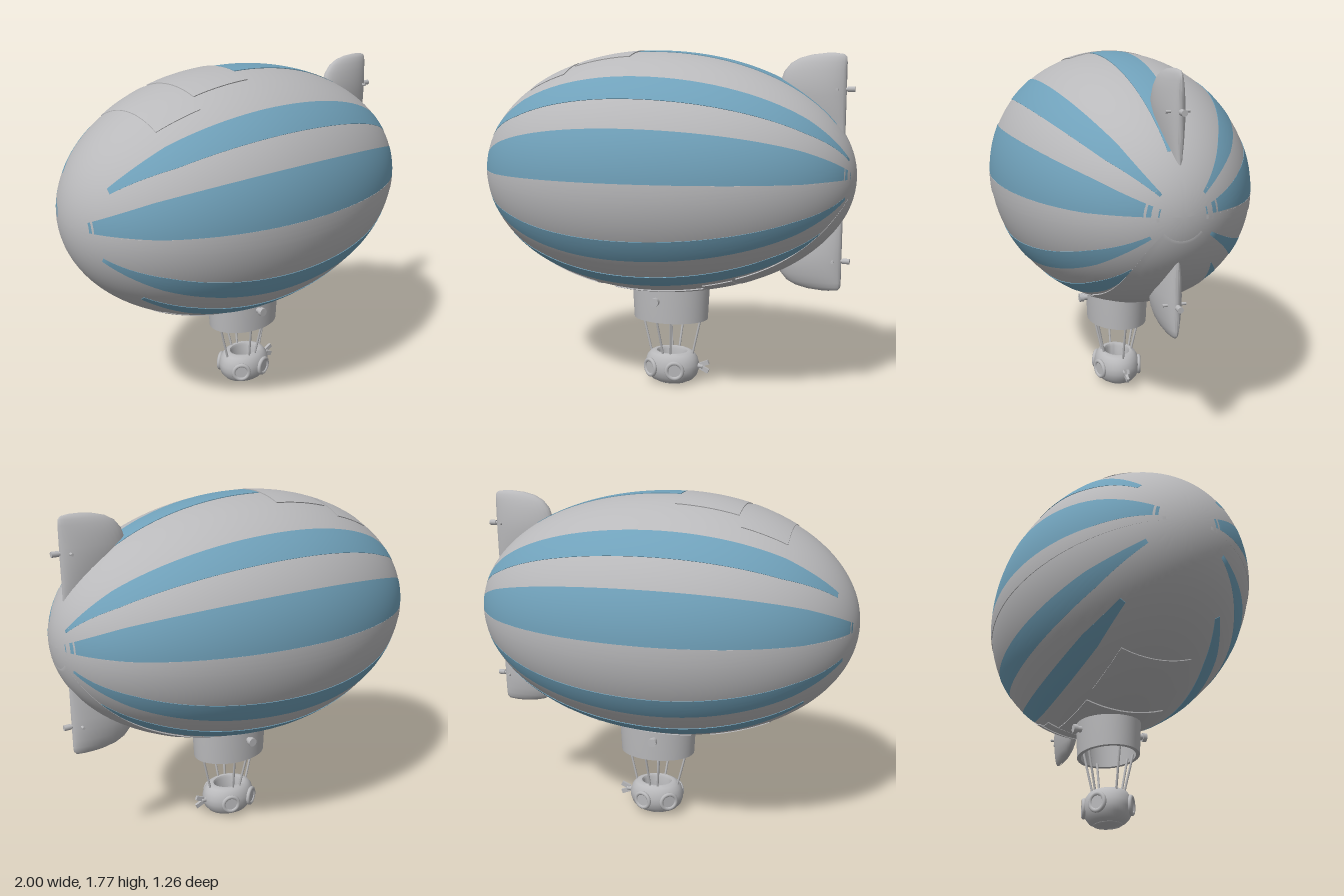
import * as THREE from 'three';
import { toCreasedNormals } from 'three/addons/utils/BufferGeometryUtils.js';

const AXIS_Y = 1.138, RADIUS = 0.628, MID_X = -0.05, DEG = Math.PI / 180;

// Surface from a rule fn(u, v) -> [x, y, z], with u and v in 0..1
function grid(nu, nv, fn, crease = 0.6) {
  const pos = [], index = [];
  for (let i = 0; i <= nu; i++)
    for (let j = 0; j <= nv; j++) pos.push(...fn(i / nu, j / nv));
  for (let i = 0; i < nu; i++)
    for (let j = 0; j < nv; j++) {
      const a = i * (nv + 1) + j, b = a + nv + 1;
      index.push(a, b, b + 1, a, b + 1, a + 1);
    }
  const g = new THREE.BufferGeometry();
  g.setAttribute('position', new THREE.Float32BufferAttribute(pos, 3));
  g.setIndex(index);
  return toCreasedNormals(g, crease);
}

// Hull point: s runs tail to nose (-PI/2..PI/2), a is the angle up from +z
function hullPoint(s, a, lift = 0) {
  const r = RADIUS * Math.cos(s) + lift * Math.cos(s);
  const x = MID_X + (s < 0 ? 0.95 : 1.05) * Math.sin(s);
  return [x, AXIS_Y + r * Math.sin(a), r * Math.cos(a)];
}
const hullS = x => Math.asin((x - MID_X) / (x < MID_X ? 0.95 : 1.05));

// Thin plate lying on the hull, its rim folded down to the hull surface
function hullPatch(a0, a1, x0, x1, lift, width = () => 1) {
  const nu = 44, nv = 14, s0 = hullS(x0), s1 = hullS(x1);
  const mid = (a0 + a1) / 2 * DEG, half = (a1 - a0) / 2 * DEG;
  return grid(nu, nv, (u, v) => {
    const rim = u === 0 || u === 1 || v === 0 || v === 1;
    const t = Math.min(1, Math.max(0, (u * nu - 1) / (nu - 2)));
    const w = Math.min(1, Math.max(0, (v * nv - 1) / (nv - 2)));
    return hullPoint(s0 + (s1 - s0) * t, mid + half * width(t) * (2 * w - 1), rim ? -0.002 : lift);
  });
}

function lathe(points, squash) {
  const g = new THREE.LatheGeometry(points.map(p => new THREE.Vector2(...p)), 48);
  g.scale(1, 1, squash);
  return toCreasedNormals(g, 0.7);
}

export function createModel() {
  const root = new THREE.Group();
  const grey = new THREE.MeshStandardMaterial({ color: 0xb9b9bb });
  grey.name = 'silver grey';
  const blue = new THREE.MeshStandardMaterial({ color: 0x70a1ba });
  blue.name = 'stripe blue';

  const add = (name, geometry, material = grey, parent = root) => {
    const m = new THREE.Mesh(geometry, material);
    m.name = name;
    parent.add(m);
    return m;
  };
  const rod = (name, from, to, radius, parent = root) => {
    const a = new THREE.Vector3(...from), b = new THREE.Vector3(...to);
    const m = add(name, new THREE.CylinderGeometry(radius, radius, a.distanceTo(b), 12), grey, parent);
    m.position.copy(a).add(b).multiplyScalar(0.5);
    m.quaternion.setFromUnitVectors(new THREE.Vector3(0, 1, 0), b.sub(a).normalize());
    return m;
  };

  // Balloon hull
  add('hull', grid(72, 96, (u, v) => hullPoint((u - 0.5) * Math.PI, v * 2 * Math.PI)));

  // Blue stripes, front and back: lower angle, upper angle, tail x, nose x, end width
  const stripes = [
    [0, 23.5, -0.975, 0.985, 0.8],
    [38, 51.5, -0.9, 0.975, 0.45],
    [-38, -26.5, -0.94, 0.965, 0.5],
    [-60, -50.5, -0.77, 0.86, 0.45],
  ];
  for (const [a0, a1, x0, x1, end] of stripes) {
    const taper = t => end + (1 - end) * Math.min(1, 6 * t, 6 * (1 - t));
    add('frontStripe', hullPatch(a0, a1, x0, x1, 0.003, taper), blue);
    add('backStripe', hullPatch(180 - a1, 180 - a0, x0, x1, 0.003, taper), blue);
  }
  add('topStripe', hullPatch(81, 95.5, -0.1, 0.9, 0.003), blue);

  // Raised belts at the waist and panels on top and belly
  add('frontBelt', hullPatch(-8.5, 0, -0.985, 0.985, 0.004));
  add('backBelt', hullPatch(180, 188.5, -0.985, 0.985, 0.004));
  add('topHatch', hullPatch(71, 109, -0.42, -0.11, 0.005));
  add('topFrontPanel', hullPatch(62, 118, -0.66, -0.445, 0.005));
  add('bellyFrontPanel', hullPatch(-110, -70, -0.6, -0.3, 0.005));
  add('bellyMiddlePanel', hullPatch(-109, -71, -0.2, 0.28, 0.006));
  add('bellyRearPanel', hullPatch(-115, -65, 0.29, 0.44, 0.005));
  add('tailPanel', hullPatch(-117, -63, 0.46, 0.985, 0.007, t => 1 + 0.9 * t * t));

  // Tail fins: distance from axis, leading x, trailing x, half thickness
  const finRows = [
    [0.12, 0.76, 0.94, 0.012], [0.2, 0.71, 0.94, 0.025], [0.3, 0.655, 0.94, 0.043],
    [0.4, 0.618, 0.94, 0.053], [0.46, 0.612, 0.94, 0.052], [0.52, 0.632, 0.94, 0.044],
    [0.56, 0.665, 0.94, 0.034], [0.585, 0.71, 0.938, 0.024], [0.6, 0.77, 0.925, 0.014],
    [0.607, 0.84, 0.88, 0.001],
  ];
  for (const [name, dir, size] of [['upperFin', 1, 1], ['lowerFin', -1, 0.945]]) {
    const fin = new THREE.Group();
    fin.name = name;
    root.add(fin);
    add('finBlade', grid(finRows.length - 1, 28, (u, v) => {
      const [d, lead, trail, thick] = finRows[Math.round(u * (finRows.length - 1))];
      const a = -dir * v * 2 * Math.PI;
      return [lead + (trail - lead) * (1 - Math.cos(a)) / 2, AXIS_Y + dir * d * size, thick * Math.sin(a)];
    }, 0.9), grey, fin);
    const y = AXIS_Y + dir * 0.432 * (dir > 0 ? 1 : 0.965);
    rod('finSpindle', [0.8, y, 0], [0.975, y, 0], 0.009, fin);
    rod('spindleCap', [0.945, y, 0], [0.98, y, 0], 0.014, fin);
    rod('finCrossbar', [0.9, y, -0.055], [0.9, y, 0.055], 0.007, fin);
  }

  // Open collar beneath the hull with a knob on each side
  const collar = add('collar', lathe([[0.203, 0.355], [0.213, 0.545], [0.213, 0.57], [0.18, 0.57],
    [0.178, 0.355], [0.203, 0.355]], 0.76));
  collar.position.x = 0.04;
  for (const side of [-1, 1]) {
    rod('collarKnob', [0.015, 0.475, side * 0.13], [0.015, 0.475, side * 0.185], 0.016);
    rod('knobCap', [0.015, 0.475, side * 0.178], [0.015, 0.475, side * 0.2], 0.023);
  }

  // Suspension cables
  rod('frontCable', [-0.125, 0.37, 0], [-0.072, 0.155, 0], 0.006);
  rod('rearCable', [0.21, 0.37, 0], [0.162, 0.155, 0], 0.006);
  for (const side of [-1, 1]) {
    rod('sideCable', [-0.002, 0.37, side * 0.12], [0.022, 0.155, side * 0.075], 0.006);
    rod('sideCable', [0.078, 0.37, side * 0.12], [0.062, 0.155, side * 0.075], 0.006);
  }

  // Rounded cabin with an open top
  const cabin = new THREE.Group();
  cabin.name = 'cabin';
  cabin.position.x = 0.047;
  root.add(cabin);
  add('cabinShell', lathe([[0, 0.003], [0.085, 0.003], [0.115, 0.016], [0.138, 0.042], [0.149, 0.075],
    [0.149, 0.105], [0.138, 0.138], [0.12, 0.16], [0.1, 0.17], [0.085, 0.168], [0.078, 0.155],
    [0.078, 0.06], [0, 0.06]], 0.8), grey, cabin);
  const bottomRim = add('bottomRim', new THREE.TorusGeometry(0.082, 0.007, 10, 40), grey, cabin);
  bottomRim.rotation.x = Math.PI / 2;
  bottomRim.scale.y = 0.8;
  bottomRim.position.y = 0.007;

  // Portholes around the cabin
  for (const deg of [130, 70, -70, -130]) {
    const a = deg * DEG, port = new THREE.Group();
    port.name = 'porthole';
    port.position.set(0.146 * Math.cos(a), 0.088, 0.117 * Math.sin(a));
    port.rotation.y = Math.atan2(Math.cos(a) * 0.8, Math.sin(a));
    cabin.add(port);
    add('portholeRim', new THREE.TorusGeometry(0.042, 0.011, 10, 32), grey, port);
    add('portholePane', new THREE.CircleGeometry(0.042, 32), grey, port).position.z = 0.004;
  }

  // Small tail propeller on the cabin
  rod('propellerHub', [0.185, 0.095, 0], [0.222, 0.095, 0], 0.013);
  for (const side of [-1, 1]) {
    const blade = add('propellerBlade', new THREE.BoxGeometry(0.05, 0.024, 0.014));
    blade.position.set(0.23, 0.095 + side * 0.016, 0);
    blade.rotation.z = side * 0.4;
  }
  return root;
}
